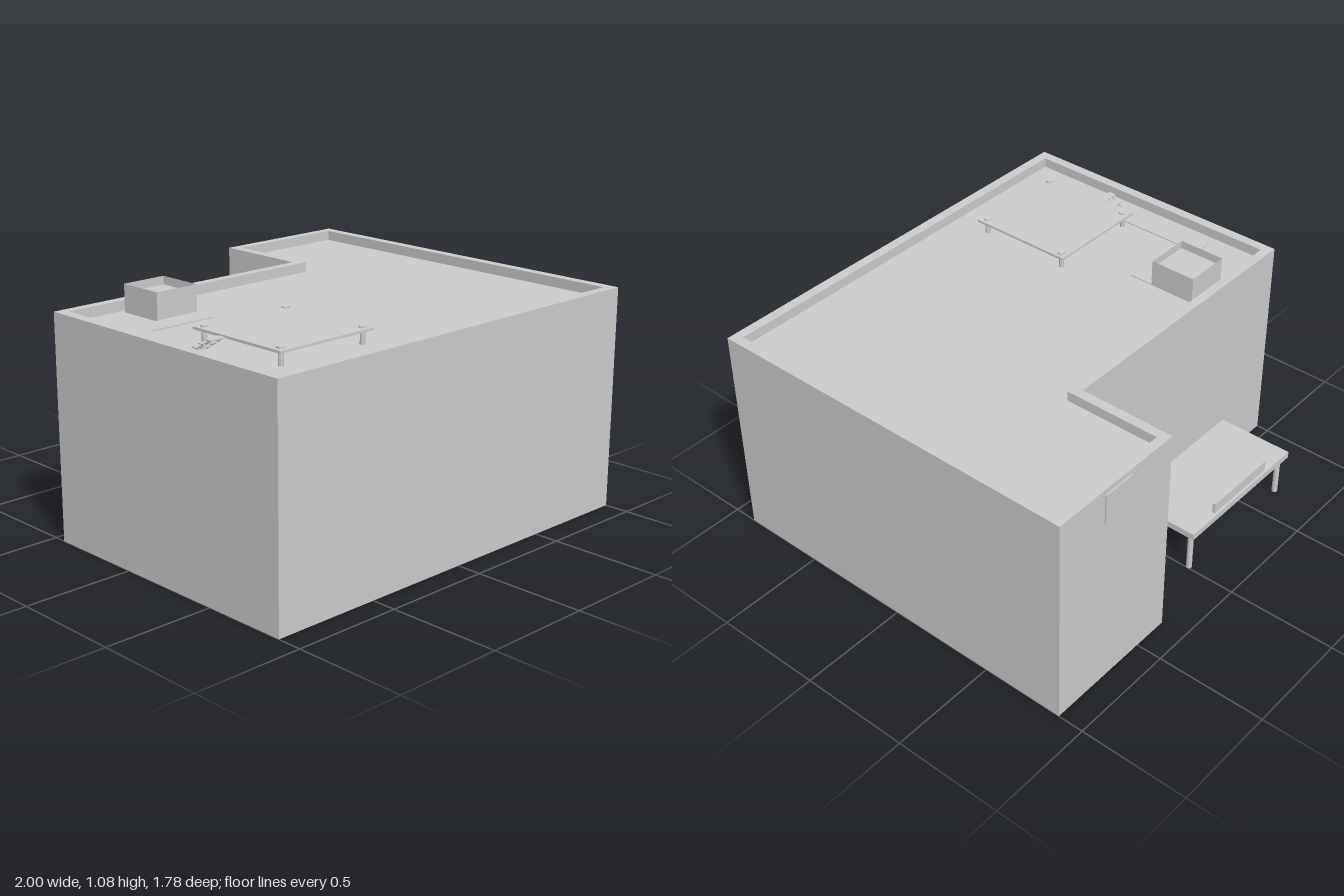
import * as THREE from 'three';

const material = new THREE.MeshStandardMaterial({ color: 0xcccccc, flatShading: true, side: THREE.DoubleSide });

const ROOF = 0.955; // roof floor, sunk behind the parapet
const OUTER = [[-1, 0.889], [1, 0.889], [1, -0.882], [0.333, -0.882], [0.333, -0.442], [-1, -0.442]];
const INNER = [[-0.955, 0.844], [0.955, 0.844], [0.955, -0.84], [0.377, -0.84], [0.377, -0.4], [-0.955, -0.4]];

function add(parent, name, geometry) {
  const mesh = new THREE.Mesh(geometry, material);
  mesh.name = name;
  parent.add(mesh);
  return mesh;
}

// Box given by its lower and upper limits on each axis
function block(parent, name, x0, x1, y0, y1, z0, z1) {
  const mesh = add(parent, name, new THREE.BoxGeometry(x1 - x0, y1 - y0, z1 - z0));
  mesh.position.set((x0 + x1) / 2, (y0 + y1) / 2, (z0 + z1) / 2);
  return mesh;
}

// Upright post
function post(parent, name, x, z, y0, y1, radius, sides) {
  const mesh = add(parent, name, new THREE.CylinderGeometry(radius, radius, y1 - y0, sides));
  mesh.position.set(x, (y0 + y1) / 2, z);
}

// Vertical sheet walls along a closed plan outline
function wallLoop(outline, y0, y1) {
  const positions = [];
  outline.forEach(([ax, az], i) => {
    const [bx, bz] = outline[(i + 1) % outline.length];
    positions.push(ax, y0, az, bx, y0, bz, bx, y1, bz, ax, y0, az, bx, y1, bz, ax, y1, az);
  });
  const geometry = new THREE.BufferGeometry();
  geometry.setAttribute('position', new THREE.Float32BufferAttribute(positions, 3));
  geometry.computeVertexNormals();
  return geometry;
}

// Horizontal sheet from a plan outline, with an optional hole
function flat(outline, y, hole) {
  const points = (list) => list.map(([x, z]) => new THREE.Vector2(x, -z));
  const shape = new THREE.Shape(points(outline));
  if (hole) shape.holes.push(new THREE.Path(points(hole)));
  return new THREE.ShapeGeometry(shape).rotateX(-Math.PI / 2).translate(0, y, 0);
}

function group(parent, name) {
  const g = new THREE.Group();
  g.name = name;
  parent.add(g);
  return g;
}

export function createModel() {
  const model = new THREE.Group();
  model.name = 'building';

  // L-shaped shell, open underneath, with a parapet round a sunken roof
  const shell = group(model, 'shell');
  add(shell, 'outerWalls', wallLoop(OUTER, 0, 1));
  add(shell, 'parapetTop', flat(OUTER, 1, INNER));
  add(shell, 'parapetInside', wallLoop(INNER.slice().reverse(), ROOF, 1));
  add(shell, 'roof', flat(INNER, ROOF));

  // Roof access box with a sunken top
  const hutch = group(model, 'roofBox');
  const hutchPlan = [[-0.69, -0.16], [-0.48, -0.16], [-0.48, -0.375], [-0.69, -0.375]];
  add(hutch, 'roofBoxWalls', wallLoop(hutchPlan, ROOF, 1.077));
  add(hutch, 'roofBoxTop', flat(hutchPlan, 1.04));

  // Low walkway from the roof box to the steps
  const path = [[-0.89, 0.29], [-0.81, 0.29], [-0.81, -0.05], [-0.48, -0.05], [-0.48, -0.16], [-0.89, -0.16]];
  const walkway = group(model, 'walkway');
  add(walkway, 'walkwaySides', wallLoop(path, ROOF, ROOF + 0.005));
  add(walkway, 'walkwayTop', flat(path, ROOF + 0.005));

  // Landing platform on four posts with caps
  const platform = group(model, 'landingPlatform');
  block(platform, 'deck', -0.805, -0.31, 1.013, 1.024, 0.198, 0.695);
  for (const x of [-0.773, -0.341]) {
    for (const z of [0.23, 0.663]) {
      post(platform, 'platformLeg', x, z, ROOF, 1.024, 0.011, 8);
      post(platform, 'platformCap', x, z, 1.024, 1.031, 0.017, 8);
    }
  }

  // Three open treads on sloping side rails
  const steps = group(model, 'steps');
  for (let i = 0; i < 3; i++) {
    const y = 0.976 + i * 0.022;
    const z = 0.288 + i * 0.036;
    block(steps, 'tread', -0.885, -0.81, y - 0.005, y, z, z + 0.036);
  }
  for (const x of [-0.877, -0.818]) {
    const rail = block(steps, 'stepRail', x - 0.003, x + 0.003, 0.984, 0.992, 0.285, 0.395);
    rail.rotation.x = -Math.atan2(0.022, 0.036);
  }

  // Back canopy on two posts with an upright panel
  const canopy = group(model, 'canopy');
  block(canopy, 'canopySlab', -0.693, 0.022, 0.195, 0.225, -0.802, -0.442);
  block(canopy, 'canopyPanel', -0.522, -0.147, 0.225, 0.275, -0.79, -0.776);
  for (const x of [-0.663, -0.01]) post(canopy, 'canopyPost', x, -0.768, 0, 0.195, 0.013, 12);

  // Plain plaque high on the back wing
  block(model, 'wallPlaque', 0.587, 0.74, 0.83, 0.976, -0.889, -0.882);

  return model;
}
